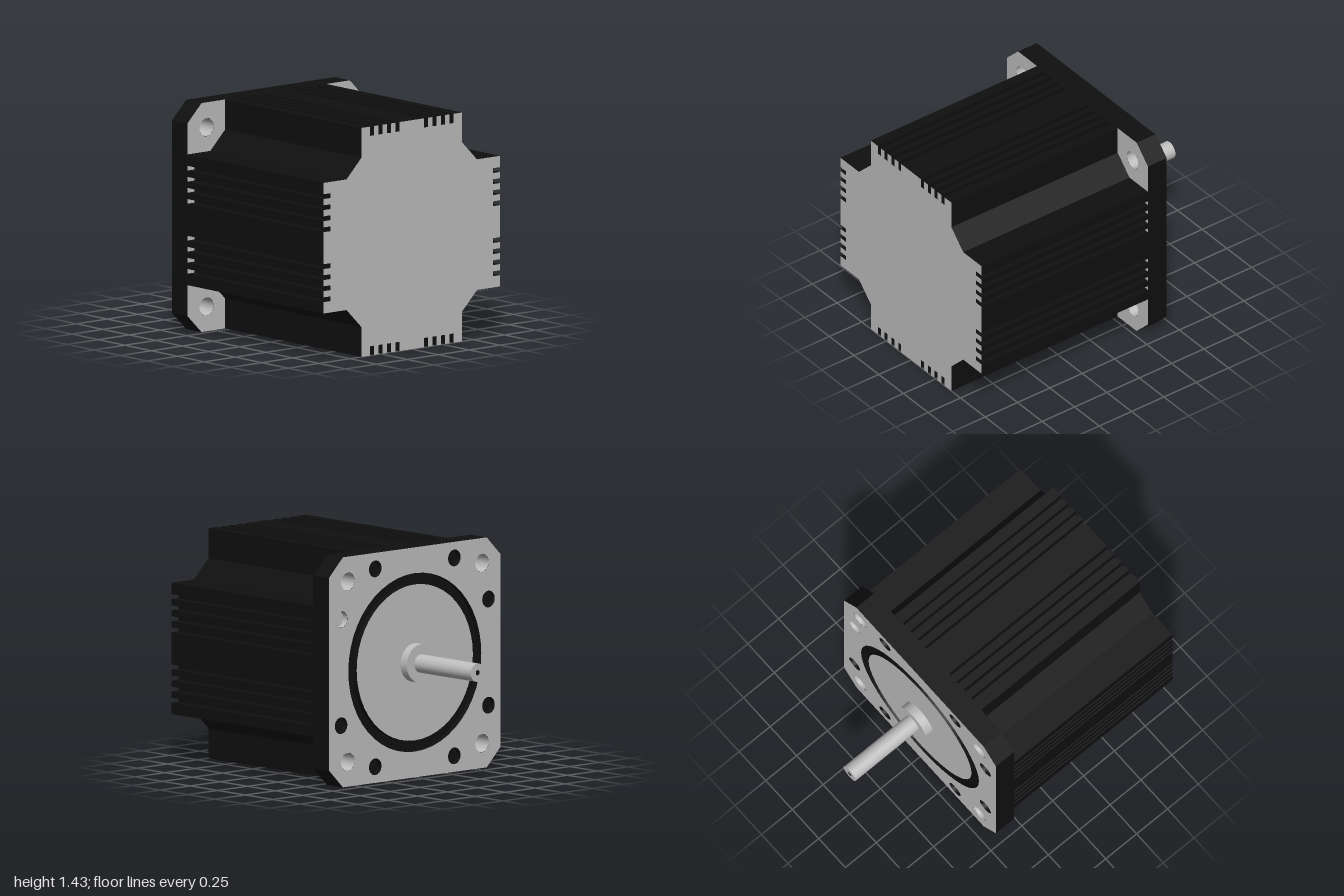
import * as THREE from 'three';

const H = 0.715;                       // half side of the square section
const FRONT = -0.43, BACK = -0.285, END = 1;
const RECESS = 0.04;                   // depth of groove and blind holes
const SLOTS = [0.322, 0.253, 0.184, 0.115];

export function createModel() {
  const group = new THREE.Group();
  const metal = new THREE.MeshStandardMaterial({ color: 0xbfbfbf });
  const black = new THREE.MeshStandardMaterial({ color: 0x0f0f0f });
  metal.name = 'brushed metal';
  black.name = 'black paint';
  const metalInside = new THREE.MeshStandardMaterial({ color: 0xbfbfbf, side: THREE.DoubleSide });
  metalInside.name = 'metal bore';

  const add = (name, geometry, material) => {
    const mesh = new THREE.Mesh(geometry, material);
    mesh.name = name;
    mesh.position.y = H;
    group.add(mesh);
    return mesh;
  };
  // extrude a section along x (section x runs towards -z)
  const slab = (shape, x0, x1) =>
    new THREE.ExtrudeGeometry(shape, { depth: x1 - x0, bevelEnabled: false, curveSegments: 24 })
      .rotateY(Math.PI / 2).translate(x0, 0, 0);
  const rod = (r, x0, x1, open = false) =>
    new THREE.CylinderGeometry(r, r, x1 - x0, 32, 1, open)
      .rotateZ(Math.PI / 2).translate((x0 + x1) / 2, 0, 0);
  // disc facing -x
  const disc = (r, x, u, v) =>
    new THREE.CircleGeometry(r, 32).rotateY(-Math.PI / 2).translate(x, v, -u);
  const circle = (u, v, r) => new THREE.Path().absarc(u, v, r, 0, Math.PI * 2, true);

  const corners = [[1, 1], [-1, 1], [-1, -1], [1, -1]].map(([a, b]) => [a * 0.56, b * 0.56]);
  const blind = [];
  for (const a of [-1, 1]) for (const b of [-1, 1])
    blind.push([a * 0.33, b * 0.615], [a * 0.615, b * 0.33]);

  // chamfered square plate with holes
  const plate = (holes) => {
    const c = H - 0.115;
    const s = new THREE.Shape([[H, -c], [H, c], [c, H], [-c, H], [-H, c], [-H, -c], [-c, -H], [c, -H]]
      .map(([x, y]) => new THREE.Vector2(x, y)));
    s.holes = holes;
    return s;
  };
  const bores = () => corners.map(([u, v]) => circle(u, v, 0.057));

  // flange: solid rear layer, front layer with groove and blind holes
  add('flangeRear', slab(plate(bores()), FRONT + RECESS, BACK), [metal, black]);
  const frontHoles = [...bores(), ...blind.map(([u, v]) => circle(u, v, 0.052)), circle(0, 0, 0.555)];
  add('flangeFront', slab(plate(frontHoles), FRONT, FRONT + RECESS), [metal, black]);
  const centre = new THREE.Shape().absarc(0, 0, 0.485, 0, Math.PI * 2, false);
  add('flangeCentre', slab(centre, FRONT, FRONT + RECESS), [metal, black]);
  add('grooveFloor', new THREE.RingGeometry(0.485, 0.555, 48).rotateY(-Math.PI / 2)
    .translate(FRONT + RECESS - 0.003, 0, 0), black);

  // bare metal in the mounting bores
  for (const [u, v] of corners)
    add('mountingBore', rod(0.056, FRONT, BACK, true).translate(0, v, -u), metalInside);

  // blind hole floors, one hole left in bare metal
  for (const [u, v] of blind) {
    const bare = u > 0.5 && v > 0;
    add('blindHoleFloor', disc(0.052, FRONT + RECESS - 0.003, u, v), bare ? metal : black);
    if (bare) add('blindHoleWall', rod(0.051, FRONT, FRONT + RECESS, true).translate(0, v, -u), metalInside);
  }

  // finned body with notched corners
  const a = 0.408, b = 0.528, w = 0.015, depth = 0.058;
  const side = [[a, b], [a, H]];
  for (const c of [...SLOTS, ...SLOTS.map((s) => -s).reverse()])
    side.push([c + w, H], [c + w, H - depth], [c - w, H - depth], [c - w, H]);
  side.push([-a, H], [-a, b]);
  const outline = [];
  for (let i = 0; i < 4; i++)
    for (const [x, y] of side)
      outline.push(new THREE.Vector2(x, y).rotateAround(new THREE.Vector2(), i * Math.PI / 2));
  add('body', slab(new THREE.Shape(outline), BACK, END), [metal, black]);

  // dark ends of the top and bottom slots
  for (const s of [-1, 1]) for (const c of SLOTS) for (const m of [-1, 1])
    add('slotEnd', new THREE.BoxGeometry(0.006, depth, w * 2)
      .translate(BACK + 0.003, s * (H - depth / 2), m * c), black);

  // boss and shaft
  add('boss', rod(0.12, -0.488, FRONT), metal);
  add('shaft', rod(0.057, -1, -0.488), metal);
  add('shaftCentreMark', disc(0.016, -1.001, 0, 0), black);
  return group;
}
